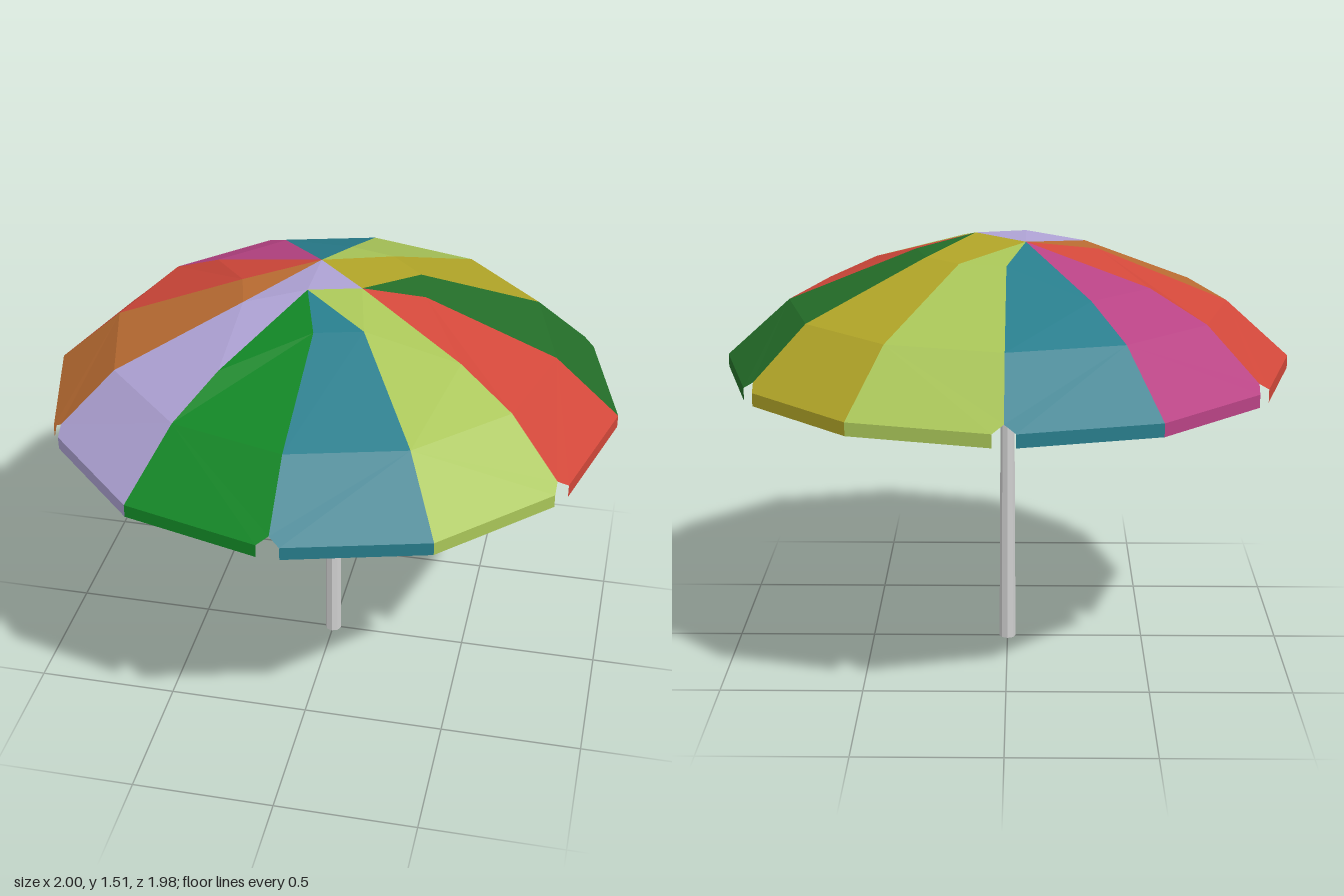
import * as THREE from 'three';

const mat = (name, color) => {
  const m = new THREE.MeshStandardMaterial({ color, side: THREE.DoubleSide, flatShading: true });
  m.name = name;
  return m;
};

export function createModel() {
  const group = new THREE.Group();
  group.name = 'beachUmbrella';

  const red = mat('red', 0xd2483a), lime = mat('lime', 0xa9c558), teal = mat('teal', 0x287d8c);
  const green = mat('green', 0x128626), lavender = mat('lavender', 0xaea2d4), orange = mat('orange', 0xba6c32);
  const magenta = mat('magenta', 0xb84384), yellow = mat('yellow', 0xb2a628), darkGreen = mat('dark green', 0x246e29);
  const steel = mat('steel', 0xd0d0d0);

  // Panel colours, starting at +x and turning toward +z
  const colours = [red, lime, teal, green, lavender, orange, red, magenta, teal, lime, yellow, darkGreen];

  const at = (i, r, y) => {
    const a = (i * Math.PI) / 6;
    return new THREE.Vector3(r * Math.cos(a), y, r * Math.sin(a));
  };

  // Small three-cornered crown; each rib ends at one of its corners
  const A = at(1, 0.13, 1.515), B = at(4, 0.13, 1.515), C = at(8, 0.13, 1.515);
  const crown = [A, A, B, B, B, C, C, C, C, C, C, A];

  // Some ribs bend farther out than the rest
  const upper = (i) => ([1, 4, 7, 8].includes(i % 12) ? at(i, 0.56, 1.388) : at(i, 0.32, 1.47));
  const middle = (i) => at(i, 0.775, 1.287);
  const RIM = 1.085, HEM = 1.04;

  // Flat-shaded mesh from convex polygons, each split as a fan
  const polygonMesh = (name, polygons, material) => {
    const points = [];
    for (const p of polygons)
      for (let k = 1; k < p.length - 1; k++) points.push(p[0], p[k], p[k + 1]);
    const geometry = new THREE.BufferGeometry().setFromPoints(points);
    geometry.computeVertexNormals();
    const mesh = new THREE.Mesh(geometry, material);
    mesh.name = name;
    group.add(mesh);
  };

  // Canopy panels; a notch is cut at every second rib
  for (let i = 0; i < 12; i++) {
    const j = i + 1;
    const notchFirst = i % 2 === 1;
    const odd = notchFirst ? i : j, even = notchFirst ? j : i;
    const corner = at(even, 1, RIM);
    const cut = at(odd, 1, RIM).lerp(corner, 0.075);
    const notchTop = at(odd, 0.97, 1.11);
    const ca = crown[i], cb = crown[j % 12];
    const outer = notchFirst
      ? [middle(j), corner, cut, notchTop, middle(i)]
      : [middle(i), middle(j), notchTop, cut, corner];
    const [va, vb] = notchFirst ? [cut, corner] : [corner, cut];
    const drop = (v) => v.clone().setY(HEM);

    const top = ca === cb
      ? [[ca, upper(j), upper(i)]]
      : [[ca, cb, upper(j)], [ca, upper(j), upper(i)]];
    polygonMesh('canopyPanel' + j, [
      ...top,
      [upper(i), upper(j), middle(j), middle(i)],
      outer,
    ], colours[i]);
    polygonMesh('valance' + j, [[va, vb, drop(vb), drop(va)]], colours[i]);
  }
  polygonMesh('crownCap', [[A, C, B]], lavender);

  // Slightly tapered pole
  const pole = new THREE.Mesh(new THREE.CylinderGeometry(0.022, 0.03, 1.5, 8), steel);
  pole.name = 'pole';
  pole.position.y = 0.75;
  group.add(pole);

  return group;
}
